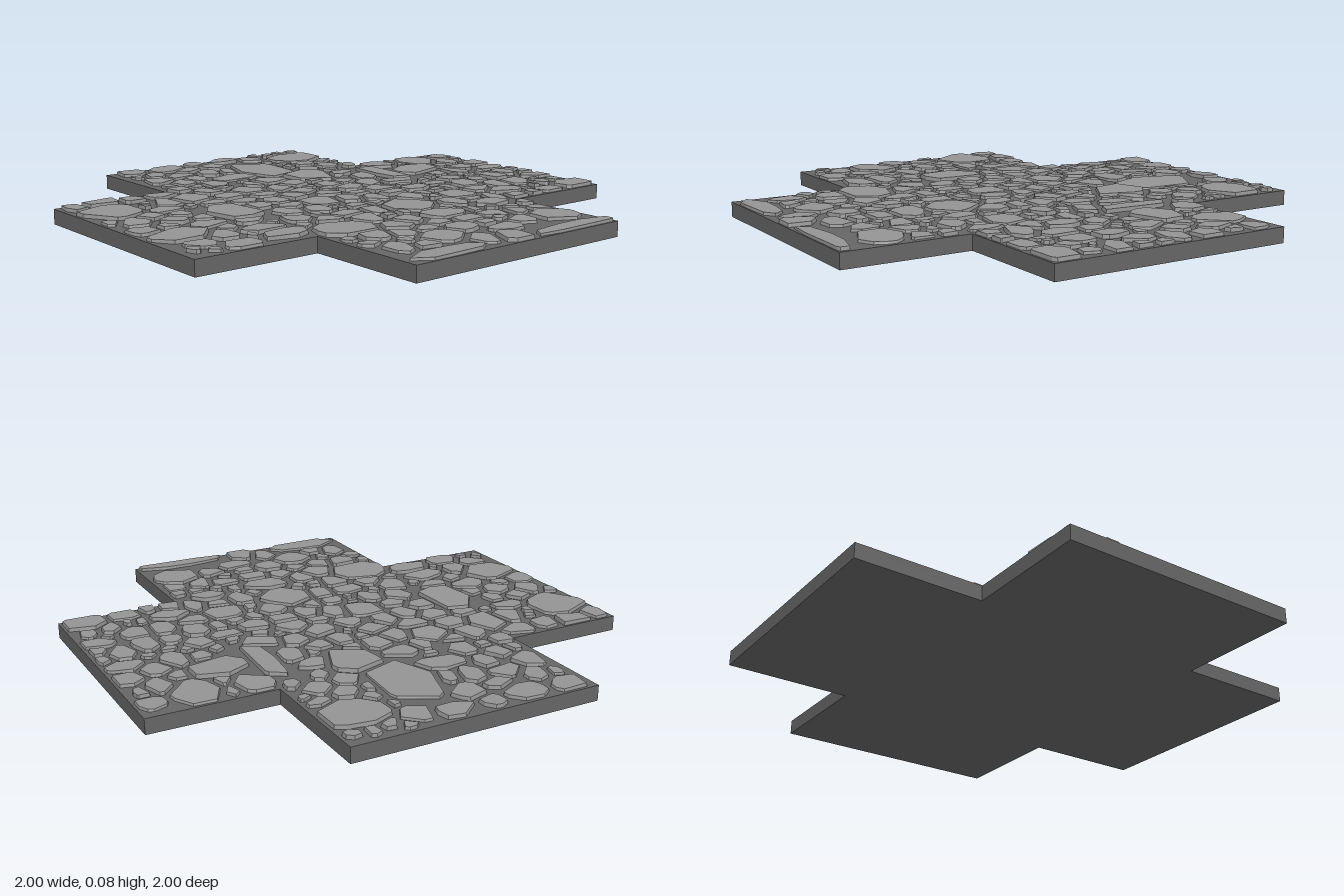
import * as THREE from 'three';

const SLAB_TOP = 0.06;
const GAP = 0.011;

// Large stones: x, z, half-width, half-depth. The rest are filled in around them.
const LARGE = [
  [-0.8, -0.37, 0.12, 0.13], [-0.65, -0.09, 0.22, 0.12], [-0.41, -0.165, 0.13, 0.09], [-0.23, -0.62, 0.08, 0.12],
  [-0.24, -0.45, 0.2, 0.045], [0.33, -0.07, 0.11, 0.1], [0.48, 0.37, 0.11, 0.12], [-0.01, 0.52, 0.15, 0.1],
  [-0.28, 0.87, 0.12, 0.12], [0.21, 0.87, 0.1, 0.11], [0.78, -0.385, 0.09, 0.09], [0.52, -0.08, 0.07, 0.1],
  [0.78, 0.18, 0.07, 0.1], [0.42, -0.91, 0.07, 0.09], [0.94, 0.32, 0.05, 0.16], [0.96, -0.3, 0.035, 0.2],
  [-0.92, 0.24, 0.06, 0.08], [-0.31, 0.5, 0.1, 0.07], [-0.31, 0.23, 0.08, 0.07], [0.05, 0.14, 0.09, 0.08],
  [-0.38, -0.77, 0.1, 0.08], [-0.57, 0.12, 0.06, 0.1], [-0.42, -0.56, 0.08, 0.08], [-0.05, -0.91, 0.05, 0.08],
  [0.15, -0.55, 0.08, 0.06], [0.29, -0.37, 0.07, 0.09], [0.5, -0.36, 0.05, 0.08], [-0.08, -0.38, 0.06, 0.08],
  [0.01, -0.2, 0.06, 0.07], [-0.16, 0.07, 0.05, 0.07], [0.29, 0.59, 0.05, 0.1], [0.41, 0.58, 0.05, 0.1],
  [0.11, 0.7, 0.06, 0.08], [0.43, 0.77, 0.06, 0.07], [-0.4, -0.94, 0.05, 0.05], [-0.45, 0.82, 0.05, 0.08],
];

function seeded(seed) {
  return () => {
    seed = (seed * 1664525 + 1013904223) % 4294967296;
    return seed / 4294967296;
  };
}

// Reach of an elliptical stone in direction (ux, uz)
const reach = (s, ux, uz) => Math.hypot(s.rx * ux, s.rz * uz);

// Keep the part of a polygon where p . n <= d
function clip(poly, nx, nz, d) {
  const out = [];
  poly.forEach((a, i) => {
    const b = poly[(i + 1) % poly.length];
    const da = a[0] * nx + a[1] * nz - d;
    const db = b[0] * nx + b[1] * nz - d;
    if (da <= 0) out.push(a);
    if (da * db < 0) {
      const t = da / (da - db);
      out.push([a[0] + (b[0] - a[0]) * t, a[1] + (b[1] - a[1]) * t]);
    }
  });
  return out;
}

// Scatter ever smaller stones into the free space of the cross
function scatter(random) {
  const sites = LARGE.map(([x, z, rx, rz]) => ({ x, z, rx, rz }));
  const tries = 9000;
  for (let i = 0; i < tries; i++) {
    const r = 0.062 - 0.036 * (i / tries);
    const stretch = 0.75 + random() * 0.55;
    const s = { x: random() * 2 - 1, z: random() * 2 - 1, rx: r * stretch, rz: r / stretch };
    const long = Math.max(Math.abs(s.x), Math.abs(s.z));
    const short = Math.min(Math.abs(s.x), Math.abs(s.z));
    if (long > 0.985 - r * 0.7 || short > 0.485 - r * 0.7) continue;
    const free = sites.every((o) => {
      const dx = o.x - s.x, dz = o.z - s.z, d = Math.hypot(dx, dz);
      return d > 0.88 * (reach(s, dx / d, dz / d) + reach(o, dx / d, dz / d));
    });
    if (free) sites.push(s);
  }
  return sites;
}

// Irregular convex outline, cut back from its neighbours and the slab edge
function outline(s, sites, random) {
  const n = 5 + Math.floor(random() * 4);
  const turn = random() * Math.PI * 2;
  let poly = [];
  for (let i = 0; i < n; i++) {
    const a = turn + ((i + (random() - 0.5) * 0.6) / n) * Math.PI * 2;
    poly.push([s.x + Math.cos(a) * s.rx * 1.22, s.z + Math.sin(a) * s.rz * 1.22]);
  }
  for (const o of sites) {
    const dx = o.x - s.x, dz = o.z - s.z, d = Math.hypot(dx, dz);
    if (o === s || d > 0.6) continue;
    const ux = dx / d, uz = dz / d;
    const mine = reach(s, ux, uz), theirs = reach(o, ux, uz);
    const cut = (d * mine) / (mine + theirs) - GAP;
    poly = clip(poly, ux, uz, s.x * ux + s.z * uz + cut);
  }
  const alongX = Math.abs(s.x) > Math.abs(s.z);
  const limX = alongX ? 0.99 : 0.487;
  const limZ = alongX ? 0.487 : 0.99;
  poly = clip(clip(poly, 1, 0, limX), -1, 0, limX);
  return clip(clip(poly, 0, 1, limZ), 0, -1, limZ);
}

// Low prism with leaning sides and a slightly tilted flat top
function addStone(out, poly, random) {
  const n = poly.length;
  const cx = poly.reduce((t, p) => t + p[0], 0) / n;
  const cz = poly.reduce((t, p) => t + p[1], 0) / n;
  const height = 0.069 + random() * 0.006;
  const tiltX = (random() - 0.5) * 0.06;
  const tiltZ = (random() - 0.5) * 0.06;
  const topY = (x, z) => Math.min(0.08, Math.max(0.063, height + (x - cx) * tiltX + (z - cz) * tiltZ));
  const bottom = poly.map(([x, z]) => [x, SLAB_TOP - 0.004, z]);
  const top = poly.map(([x, z]) => {
    const k = 1 - Math.min(0.1, 0.004 / Math.hypot(x - cx, z - cz));
    const tx = cx + (x - cx) * k, tz = cz + (z - cz) * k;
    return [tx, topY(tx, tz), tz];
  });
  const centre = [cx, topY(cx, cz), cz];
  for (let i = 0; i < n; i++) {
    const j = (i + 1) % n;
    out.push(...centre, ...top[j], ...top[i]);
    out.push(...bottom[i], ...top[i], ...bottom[j]);
    out.push(...bottom[j], ...top[i], ...top[j]);
  }
}

export function createModel() {
  const group = new THREE.Group();
  group.name = 'crossroadsPaving';

  // Cross-shaped slab
  const E = 0.995, A = 0.495;
  const cross = new THREE.Shape([
    [-A, -1], [A, -1], [A, -0.5], [E, -0.5], [E, 0.5], [A, 0.5],
    [A, 1], [-A, 1], [-A, 0.5], [-1, 0.5], [-1, -0.5], [-A, -0.5],
  ].map(([x, y]) => new THREE.Vector2(x, y)));
  const slabGeometry = new THREE.ExtrudeGeometry(cross, { depth: SLAB_TOP, bevelEnabled: false });
  slabGeometry.rotateX(-Math.PI / 2);
  const slab = new THREE.Mesh(slabGeometry, new THREE.MeshStandardMaterial({ color: 0x666666 }));
  slab.name = 'slab';
  group.add(slab);

  // Paving stones
  const random = seeded(17);
  const sites = scatter(random);
  const positions = [];
  for (const s of sites) {
    const poly = outline(s, sites, random);
    if (poly.length > 2) addStone(positions, poly, random);
  }
  const stoneGeometry = new THREE.BufferGeometry();
  stoneGeometry.setAttribute('position', new THREE.Float32BufferAttribute(positions, 3));
  stoneGeometry.computeVertexNormals();
  const stones = new THREE.Mesh(
    stoneGeometry,
    new THREE.MeshStandardMaterial({ color: 0x949494, flatShading: true })
  );
  stones.name = 'pavingStones';
  group.add(stones);

  return group;
}
